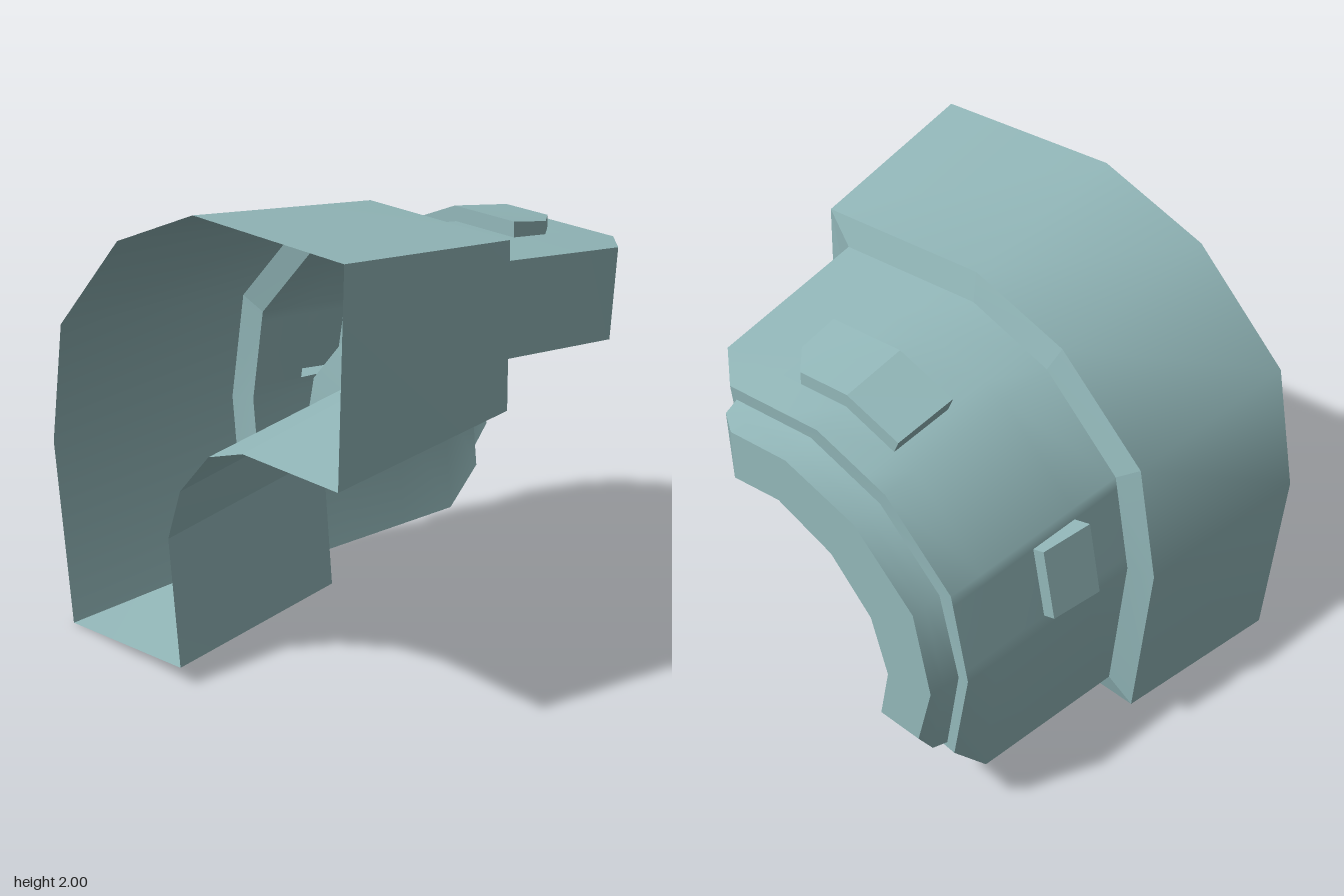
import * as THREE from 'three';
import { toCreasedNormals } from 'three/addons/utils/BufferGeometryUtils.js';

const shellGrey = new THREE.MeshStandardMaterial({ color: 0x93b8ba, side: THREE.DoubleSide });
shellGrey.name = 'shellGrey';

// Closed curved cross-section: six outer points (bottom to far end), then six inner points back.
function loop(zOuter, zInner, pts) {
  return pts.map(([x, y], i) => new THREE.Vector3(x, y, i < 6 ? zOuter : zInner));
}

// Point on a loop at a fractional station t
function at(l, t) {
  const i = Math.floor(t);
  return l[i % 12].clone().lerp(l[(i + 1) % 12], t - i);
}

const mix = (a, b, v) => a.map((p, i) => p.clone().lerp(b[i], v));
const ALL = Array.from({ length: 13 }, (_, i) => i);

function addQuad(out, a, b, c, d) {
  for (const p of [a, b, c, a, c, d]) out.push(p.x, p.y, p.z);
}

function makeMesh(name, out, crease) {
  let g = new THREE.BufferGeometry();
  g.setAttribute('position', new THREE.Float32BufferAttribute(out, 3));
  g = toCreasedNormals(g, crease);
  const mesh = new THREE.Mesh(g, shellGrey);
  mesh.name = name;
  return mesh;
}

// Wall skinned over successive loops; cells for which skip(row, t) holds are left open
function wall(name, loops, stations = ALL, crease = 0.85, skip = () => false) {
  const out = [];
  for (let r = 0; r < loops.length - 1; r++)
    for (let s = 0; s < stations.length - 1; s++) {
      const t0 = stations[s], t1 = stations[s + 1];
      if (skip(r, (t0 + t1) / 2)) continue;
      addQuad(out, at(loops[r], t0), at(loops[r], t1), at(loops[r + 1], t1), at(loops[r + 1], t0));
    }
  return makeMesh(name, out, crease);
}

// Hollow raised pad over an opening between loops l0 and l1; cols are [station, front v, back v]
function pad(name, l0, l1, cols, hFront, hBack) {
  const out = [];
  const point = (t, v) => at(mix(l0, l1, v), t);
  const raised = (t, v, h) => {
    const d = point(Math.min(t + 0.05, 5), v).sub(point(t - 0.05, v));
    return point(t, v).add(new THREE.Vector3(-d.y, d.x, 0).normalize().multiplyScalar(h));
  };
  const base = [], top = [];
  cols.forEach(([t, v]) => { base.push(point(t, v)); top.push(raised(t, v, hFront)); });
  [...cols].reverse().forEach(([t, , v]) => { base.push(point(t, v)); top.push(raised(t, v, hBack)); });
  const n = base.length;
  for (let i = 0; i < n; i++) {
    const j = (i + 1) % n;
    addQuad(out, base[i], base[j], top[j], top[i]);
  }
  for (let i = 0; i < cols.length - 1; i++)
    addQuad(out, top[i], top[i + 1], top[n - 2 - i], top[n - 1 - i]);
  return makeMesh(name, out, 0.3);
}

export function createModel() {
  const group = new THREE.Group();
  group.name = 'curvedShell';

  // Large front section
  const frontRim = loop(0.98, 0.98, [
    [-0.86, 0.005], [-0.935, 0.82], [-0.83, 1.36], [-0.40, 1.80], [0.09, 2.0], [0.93, 2.0],
    [0.89, 1.16], [0.35, 1.145], [0.14, 1.07], [-0.05, 0.87], [-0.14, 0.64], [-0.09, 0.09]]);
  const frontBack = loop(0.1, 0.11, [
    [-0.78, 0.09], [-0.85, 0.83], [-0.755, 1.32], [-0.36, 1.72], [0.07, 1.90], [0.84, 1.90],
    [0.855, 1.24], [0.25, 1.245], [0.05, 1.16], [-0.14, 0.97], [-0.22, 0.74], [-0.17, 0.16]]);

  // Middle section, with bevelled ends
  const midFront = loop(0.07, 0.09, [
    [-0.68, 0.21], [-0.74, 0.84], [-0.66, 1.26], [-0.31, 1.62], [0.06, 1.78], [0.72, 1.78],
    [0.72, 1.39], [0.16, 1.40], [-0.11, 1.27], [-0.30, 1.06], [-0.36, 0.80], [-0.30, 0.25]]);
  const midBevel = loop(-0.68, -0.65, [
    [-0.62, 0.24], [-0.675, 0.83], [-0.595, 1.22], [-0.277, 1.546], [0.06, 1.69], [0.68, 1.69],
    [0.68, 1.31], [0.177, 1.317], [-0.06, 1.205], [-0.227, 1.02], [-0.28, 0.80], [-0.23, 0.28]]);
  const midBack = loop(-0.84, -0.80, [
    [-0.59, 0.41], [-0.66, 0.83], [-0.58, 1.21], [-0.27, 1.53], [0.06, 1.67], [0.51, 1.67],
    [0.50, 1.295], [0.18, 1.30], [-0.05, 1.19], [-0.21, 1.01], [-0.26, 0.80], [-0.22, 0.45]]);

  // Small rear section, with bevelled ends
  const rearFront = loop(-0.835, -0.812, [
    [-0.55, 0.44], [-0.61, 0.82], [-0.52, 1.18], [-0.24, 1.47], [0.10, 1.615], [0.485, 1.615],
    [0.475, 1.39], [0.15, 1.40], [-0.12, 1.27], [-0.31, 1.05], [-0.39, 0.80], [-0.33, 0.47]]);
  const rearBevel = loop(-0.91, -0.90, [
    [-0.54, 0.46], [-0.60, 0.82], [-0.515, 1.175], [-0.237, 1.462], [0.10, 1.60], [0.47, 1.60],
    [0.465, 1.38], [0.15, 1.39], [-0.115, 1.262], [-0.305, 1.047], [-0.383, 0.80], [-0.33, 0.49]]);
  const rearBack = loop(-0.975, -0.975, [
    [-0.525, 0.55], [-0.59, 0.82], [-0.51, 1.17], [-0.235, 1.455], [0.10, 1.59], [0.38, 1.59],
    [0.38, 1.375], [0.15, 1.38], [-0.11, 1.255], [-0.30, 1.043], [-0.377, 0.80], [-0.335, 0.575]]);

  group.add(wall('frontOuterWall', [frontRim, frontBack], [0, 1, 2, 3, 4, 5, 6]));
  group.add(wall('frontInnerWall', [frontRim, frontBack], [6, 7, 8, 9, 10, 11, 12], 0.1));
  group.add(wall('frontStep', [frontBack, midFront], ALL, 0.1));

  // Middle wall, open under the two pads
  const rows = [0, 0.33, 0.6, 0.64, 1].map(v => mix(midFront, midBevel, v));
  const stations = [0, 1, 1.13, 1.88, 2, 3, 3.3, 4, 4.37, 4.52, 5, 6, 7, 8, 9, 10, 11, 12];
  const open = (r, t) =>
    ((r === 1 || r === 2) && t > 1.13 && t < 1.88) ||
    ((r === 2 || r === 3) && t > 3.3 && t < 4.52);
  group.add(wall('middleWall', [...rows, midBack], stations, 0.85, open));
  group.add(pad('sidePad', midFront, midBevel, [[1.13, 0.33, 0.64], [1.88, 0.33, 0.64]], 0.075, 0.05));
  group.add(pad('topPad', midFront, midBevel,
    [[3.3, 0.6, 1], [4, 0.6, 1], [4.37, 0.6, 1], [4.52, 0.6, 0.85]], 0.065, 0.055));

  // Corner left beside the clipped corner of the top pad
  const corner = [at(midBevel, 4.37), at(mix(midFront, midBevel, 0.85), 4.52), at(midBevel, 4.52)];
  group.add(makeMesh('topPadCorner', corner.flatMap(p => p.toArray()), 0.1));

  group.add(wall('middleStep', [midBack, rearFront], ALL, 0.3));
  group.add(wall('rearWall', [rearFront, rearBevel, rearBack]));

  // Flat rear closure between outer and inner edges
  const cap = [];
  for (let i = 0; i < 5; i++)
    addQuad(cap, rearBack[i], rearBack[i + 1], rearBack[10 - i], rearBack[11 - i]);
  group.add(makeMesh('rearCap', cap, 0.3));

  return group;
}
